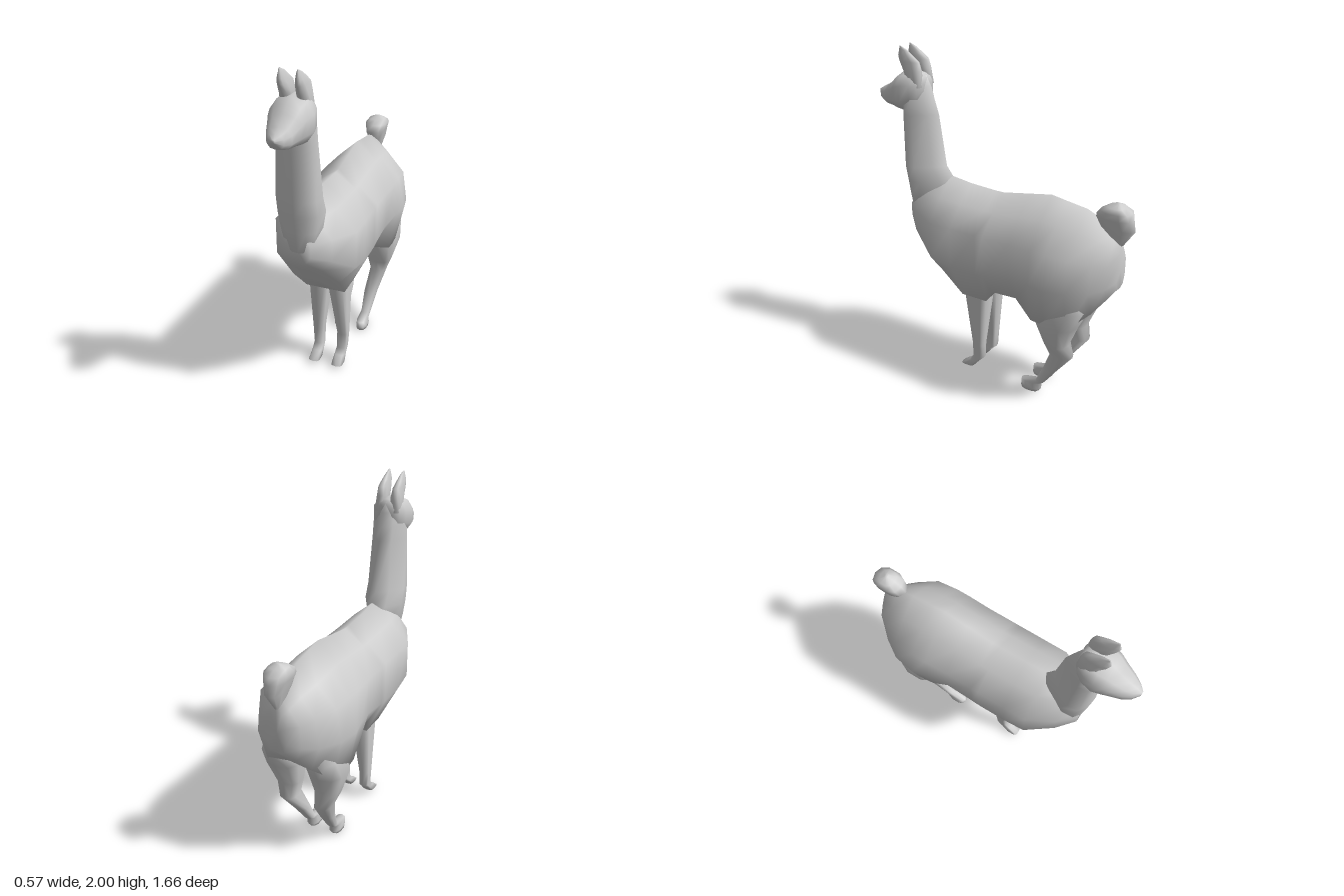
import * as THREE from 'three';

const material = new THREE.MeshStandardMaterial({ color: 0xcccccc, side: THREE.DoubleSide });

// Skin a list of equal-sized point loops, closing both ends with fans
function loft(name, rings) {
  const n = rings[0].length, pos = [], idx = [];
  for (const ring of rings) for (const p of ring) pos.push(...p);
  for (let i = 0; i < rings.length - 1; i++) {
    for (let j = 0; j < n; j++) {
      const a = i * n + j, b = i * n + (j + 1) % n;
      idx.push(a, b, a + n, b, b + n, a + n);
    }
  }
  const cap = (i, flip) => {
    const c = pos.length / 3;
    pos.push(...[0, 1, 2].map(k => rings[i].reduce((s, p) => s + p[k], 0) / n));
    for (let j = 0; j < n; j++) {
      const a = i * n + j, b = i * n + (j + 1) % n;
      idx.push(c, flip ? b : a, flip ? a : b);
    }
  };
  cap(0, true);
  cap(rings.length - 1, false);

  // Turn the faces outward, whichever way the loops run
  let volume = 0;
  const at = i => new THREE.Vector3().fromArray(pos, i * 3);
  for (let i = 0; i < idx.length; i += 3) {
    volume += at(idx[i]).dot(at(idx[i + 1]).cross(at(idx[i + 2])));
  }
  if (volume < 0) idx.reverse();

  const geometry = new THREE.BufferGeometry();
  geometry.setAttribute('position', new THREE.Float32BufferAttribute(pos, 3));
  geometry.setIndex(idx);
  geometry.computeVertexNormals();
  const mesh = new THREE.Mesh(geometry, material);
  mesh.name = name;
  return mesh;
}

// Rounded loop between [u0, u1] and [v0, v1]; power below 1 makes it squarer
function loop(u0, u1, v0, v1, power, sides = 10) {
  const bend = t => Math.sign(t) * Math.abs(t) ** power;
  return Array.from({ length: sides }, (_, i) => {
    const a = (i / sides) * Math.PI * 2 + Math.PI / 2;
    return [(u0 + u1) / 2 + bend(Math.cos(a)) * (u1 - u0) / 2,
            (v0 + v1) / 2 + bend(Math.sin(a)) * (v1 - v0) / 2];
  });
}

// Loop symmetric about x = 0: first centre point, right half, last centre point
const mirrored = (first, half, last) =>
  [[0, first], ...half, [0, last], ...half.map(([x, v]) => [-x, v]).reverse()];

// Horizontal sections: [y, zBack, zFront, xInner, xOuter]
const upright = (name, sections, side = 1, power = 0.8) => loft(name,
  sections.map(([y, z0, z1, x0, x1]) =>
    loop(x0, x1, z0, z1, power).map(([x, z]) => [x * side, y, z])));

export function createModel() {
  const model = new THREE.Group();
  model.name = 'llama';

  // Body: [z, ridge y, upper flank, lower flank, belly edge, belly y]
  const body = [
    [0.59, 1.12, [0.075, 1.05], [0.075, 0.98], [0.045, 0.94], 0.93],
    [0.5, 1.24, [0.16, 1.06], [0.16, 0.93], [0.1, 0.86], 0.84],
    [0.34, 1.26, [0.24, 1.04], [0.24, 0.82], [0.14, 0.7], 0.69],
    [0.2, 1.24, [0.24, 1.04], [0.24, 0.79], [0.12, 0.55], 0.55],
    [0.03, 1.23, [0.24, 1.04], [0.24, 0.79], [0.12, 0.55], 0.56],
    [-0.02, 1.23, [0.24, 1.04], [0.24, 0.8], [0.14, 0.64], 0.64],
    [-0.19, 1.26, [0.24, 1.04], [0.24, 0.82], [0.15, 0.655], 0.66],
    [-0.33, 1.285, [0.245, 1.04], [0.265, 0.84], [0.22, 0.59], 0.66],
    [-0.42, 1.27, [0.245, 1.04], [0.285, 0.84], [0.23, 0.59], 0.67],
    [-0.55, 1.25, [0.235, 1.03], [0.262, 0.84], [0.21, 0.59], 0.68],
    [-0.66, 1.2, [0.17, 1.01], [0.19, 0.84], [0.14, 0.69], 0.71],
    [-0.73, 1.14, [0.12, 0.99], [0.125, 0.86], [0.09, 0.78], 0.78],
    [-0.765, 1.09, [0.06, 0.98], [0.06, 0.88], [0.04, 0.83], 0.82],
  ];
  // The shoulder point lies just above the line from ridge to flank
  model.add(loft('body', body.map(([z, top, flank, low, edge, bottom]) => {
    const shoulder = [flank[0] / 2, (top + flank[1]) / 2 + 0.01];
    return mirrored(top, [shoulder, flank, low, edge], bottom).map(([x, y]) => [x, y, z]);
  })));

  // Neck with a ridge down the nape: [y, zBack, zFront, half width]
  model.add(loft('neck', [
    [1.0, 0.42, 0.594, 0.08], [1.12, 0.34, 0.61, 0.11], [1.22, 0.3, 0.624, 0.124],
    [1.31, 0.37, 0.631, 0.122], [1.62, 0.415, 0.633, 0.106], [1.7, 0.44, 0.62, 0.103],
    [1.78, 0.468, 0.6, 0.095], [1.84, 0.492, 0.58, 0.06],
  ].map(([y, z0, z1, w]) => {
    const half = [[0.5, 0.24], [1, 0.58], [0.92, 0.84], [0.5, 0.97]]
      .map(([u, v]) => [u * w, z0 + v * (z1 - z0)]);
    return mirrored(z0, half, z1).map(([x, z]) => [x, y, z]);
  })));

  // Head: [z, yBottom, yTop, half width]
  model.add(loft('head', [
    [0.488, 1.74, 1.83, 0.05], [0.51, 1.67, 1.855, 0.085], [0.55, 1.64, 1.865, 0.11],
    [0.61, 1.62, 1.86, 0.122], [0.66, 1.625, 1.84, 0.107], [0.7, 1.635, 1.8, 0.092],
    [0.76, 1.643, 1.758, 0.07], [0.8, 1.66, 1.738, 0.045], [0.83, 1.7, 1.72, 0.012],
  ].map(([z, y0, y1, w]) => loop(-w, w, y0, y1, 0.85).map(([x, y]) => [x, y, z]))));

  // Upright tail tuft
  model.add(upright('tail', [
    [1.08, -0.765, -0.7, 0.015], [1.18, -0.83, -0.63, 0.045], [1.24, -0.82, -0.6, 0.06],
    [1.28, -0.808, -0.628, 0.07], [1.305, -0.765, -0.67, 0.052], [1.322, -0.735, -0.715, 0.015],
  ].map(([y, z0, z1, w]) => [y, z0, z1, -w, w])));

  // Ears and legs, mirrored
  for (const [label, side] of [['left', 1], ['right', -1]]) {
    model.add(upright(label + 'Ear', [
      [1.78, 0.49, 0.58, 0.02, 0.085], [1.87, 0.497, 0.615, 0.012, 0.078],
      [1.92, 0.506, 0.643, 0.022, 0.071], [1.95, 0.545, 0.65, 0.028, 0.066],
      [1.98, 0.585, 0.643, 0.036, 0.056], [2.0, 0.628, 0.638, 0.044, 0.05],
    ], side));
    model.add(upright(label + 'FrontLeg', [
      [0.62, 0.05, 0.19, 0.01, 0.11], [0.545, 0.033, 0.198, 0.002, 0.119],
      [0.2, 0.07, 0.145, 0.045, 0.112], [0.1, 0.075, 0.148, 0.045, 0.105],
      [0.065, 0.11, 0.175, 0.042, 0.105], [0.022, 0.145, 0.235, 0.04, 0.11],
    ], side, 0.55));
    // Thigh tapers away inside the haunch
    model.add(upright(label + 'HindLeg', [
      [0.84, -0.6, -0.4, 0.06, 0.2], [0.7, -0.645, -0.36, 0.035, 0.235],
      [0.58, -0.59, -0.335, 0.03, 0.246],
      [0.43, -0.53, -0.385, 0.05, 0.2], [0.345, -0.553, -0.412, 0.06, 0.165],
      [0.2, -0.445, -0.355, 0.045, 0.128], [0.08, -0.36, -0.3, 0.048, 0.108],
      [0.06, -0.335, -0.2, 0.045, 0.11], [0.02, -0.335, -0.197, 0.04, 0.112],
      [0, -0.32, -0.205, 0.045, 0.11],
    ], side));
  }
  return model;
}
